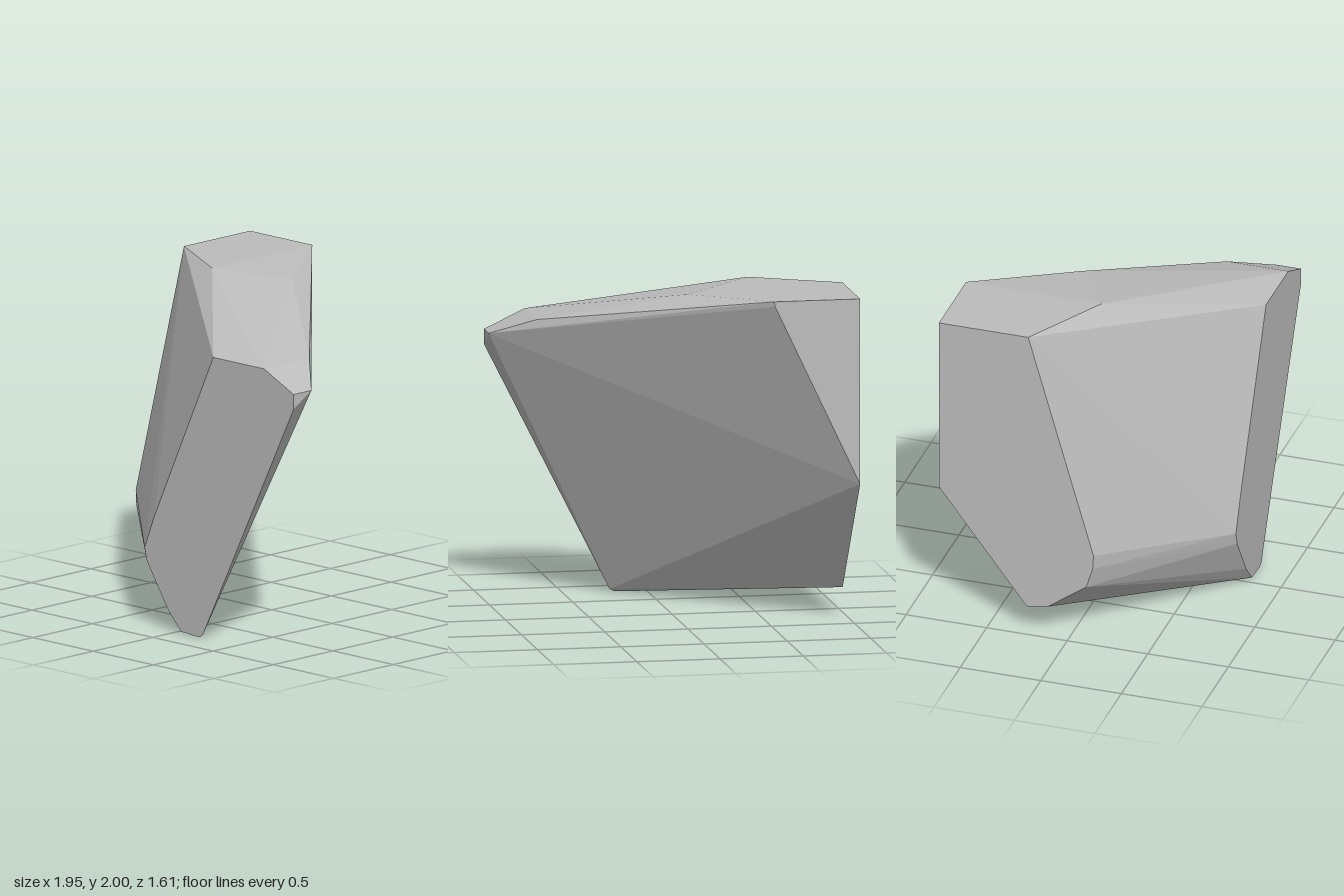
import * as THREE from 'three';
import { ConvexGeometry } from 'three/addons/geometries/ConvexGeometry.js';

export function createModel() {
  const group = new THREE.Group();
  group.name = 'cutStone';

  const paleGrey = new THREE.MeshStandardMaterial({ color: 0xbcbcbc });
  paleGrey.name = 'paleGrey';

  // Flat cut at the front, as x, y
  const frontCut = [
    [0.31, 1.715], [0.73, 1.715], [0.975, 1.6], [0.975, 1.51], [0.22, 0.015], [0.19, 0],
    [0.04, 0.01], [-0.07, 0.13], [-0.24, 0.39], [-0.26, 0.47], [-0.18, 0.67],
  ].map(([x, y]) => new THREE.Vector3(x, y, 0.805));

  // Flat cut at the right side, as z, y
  const sideCut = [
    [-0.25, 2], [-0.805, 2], [-0.805, 0.89], [-0.26, 0.175],
    [-0.13, 0.195], [0.11, 0.37], [0.15, 0.5], [0.155, 0.59],
  ].map(([z, y]) => new THREE.Vector3(-0.975, y, z));

  // Corners of the top and the sloping back
  const ridge = [
    [-0.46, 2, -0.805], [-0.465, 1.97, -0.805], [-0.46, 2, 0.035],
    [-0.05, 1.955, -0.225], [0.73, 1.715, 0.425], [0.975, 1.6, 0.655],
  ].map((p) => new THREE.Vector3(...p));

  // Faceted solid spanning all the cuts
  const stone = new THREE.Mesh(new ConvexGeometry([...frontCut, ...sideCut, ...ridge]), paleGrey);
  stone.name = 'stoneBody';
  group.add(stone);
  return group;
}
